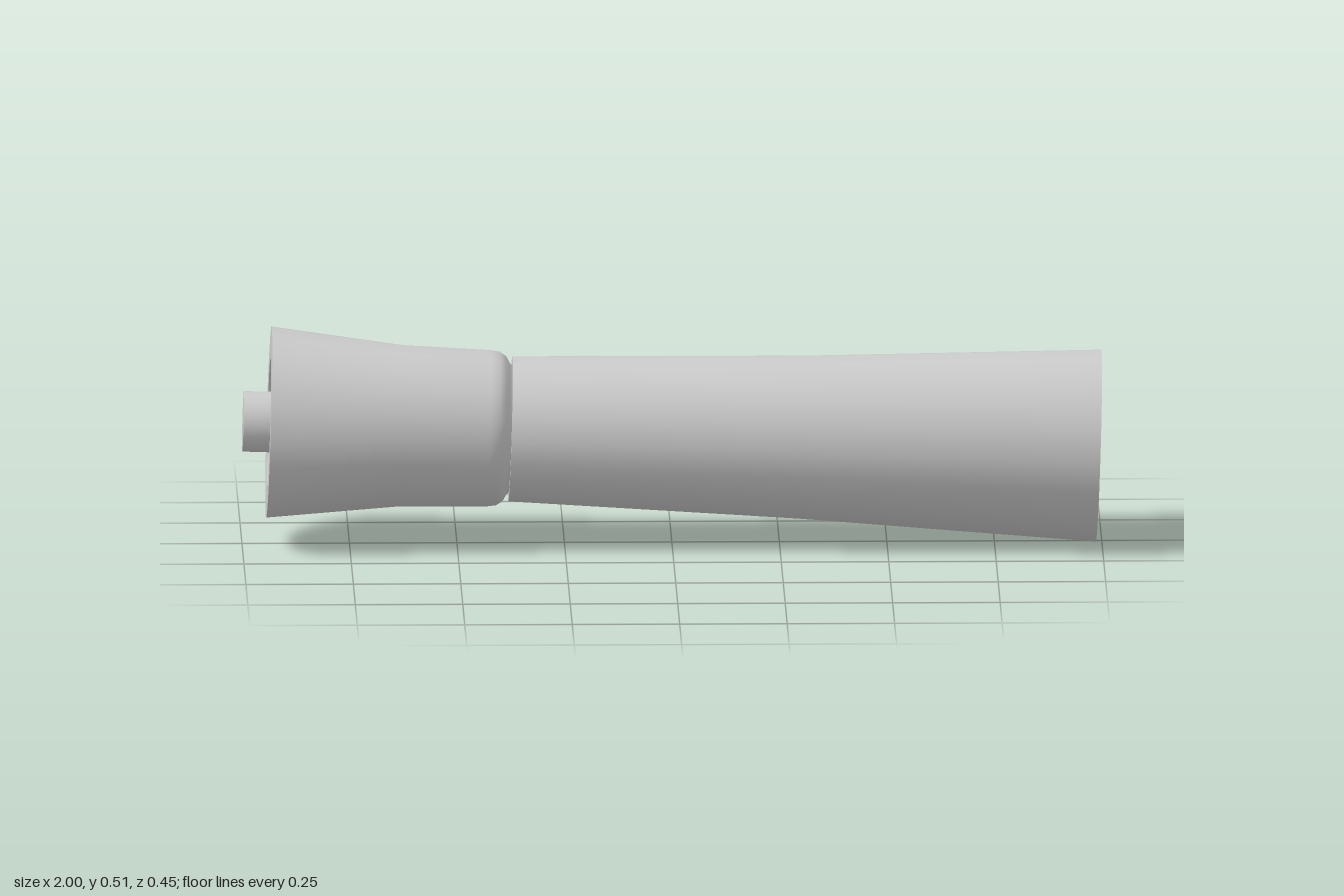
import * as THREE from 'three';
import { toCreasedNormals } from 'three/addons/utils/BufferGeometryUtils.js';

const SIDES = 20;

// Turned part: profile is [position along the axis, radius], listed towards +x
function turned(name, profile, material) {
  const points = profile.map(([t, r]) => new THREE.Vector2(r, t));
  const lathe = new THREE.LatheGeometry(points, SIDES);
  lathe.rotateZ(-Math.PI / 2);
  const mesh = new THREE.Mesh(toCreasedNormals(lathe, 0.7), material);
  mesh.name = name;
  return mesh;
}

export function createModel() {
  const material = new THREE.MeshStandardMaterial({ color: 0xcccccc });
  const model = new THREE.Group();
  model.name = 'taperedHandle';

  // Long flared tube with a shallow socket in its wide end
  model.add(turned('flaredTube', [
    [-0.376, 0], [-0.376, 0.17], [0.3, 0.191], [0.993, 0.225],
    [0.993, 0.142], [0.87, 0.142], [0.87, 0],
  ], material));

  // Flared collar with a recessed end and a rounded shoulder
  model.add(turned('flaredCollar', [
    [-0.867, 0], [-0.867, 0.15], [-0.938, 0.15], [-0.938, 0.224],
    [-0.63, 0.189], [-0.425, 0.183], [-0.405, 0.18], [-0.39, 0.17],
    [-0.382, 0.155], [-0.376, 0.15], [-0.376, 0],
  ], material));

  // Small pin standing out of the recess
  model.add(turned('endPin', [
    [-0.998, 0], [-0.998, 0.071], [-0.866, 0.071], [-0.866, 0],
  ], material));

  // The whole axis leans slightly down towards +x
  model.rotation.z = -0.0325;
  model.position.y = 0.2595;
  const root = new THREE.Group();
  root.name = 'model';
  root.add(model);
  return root;
}
